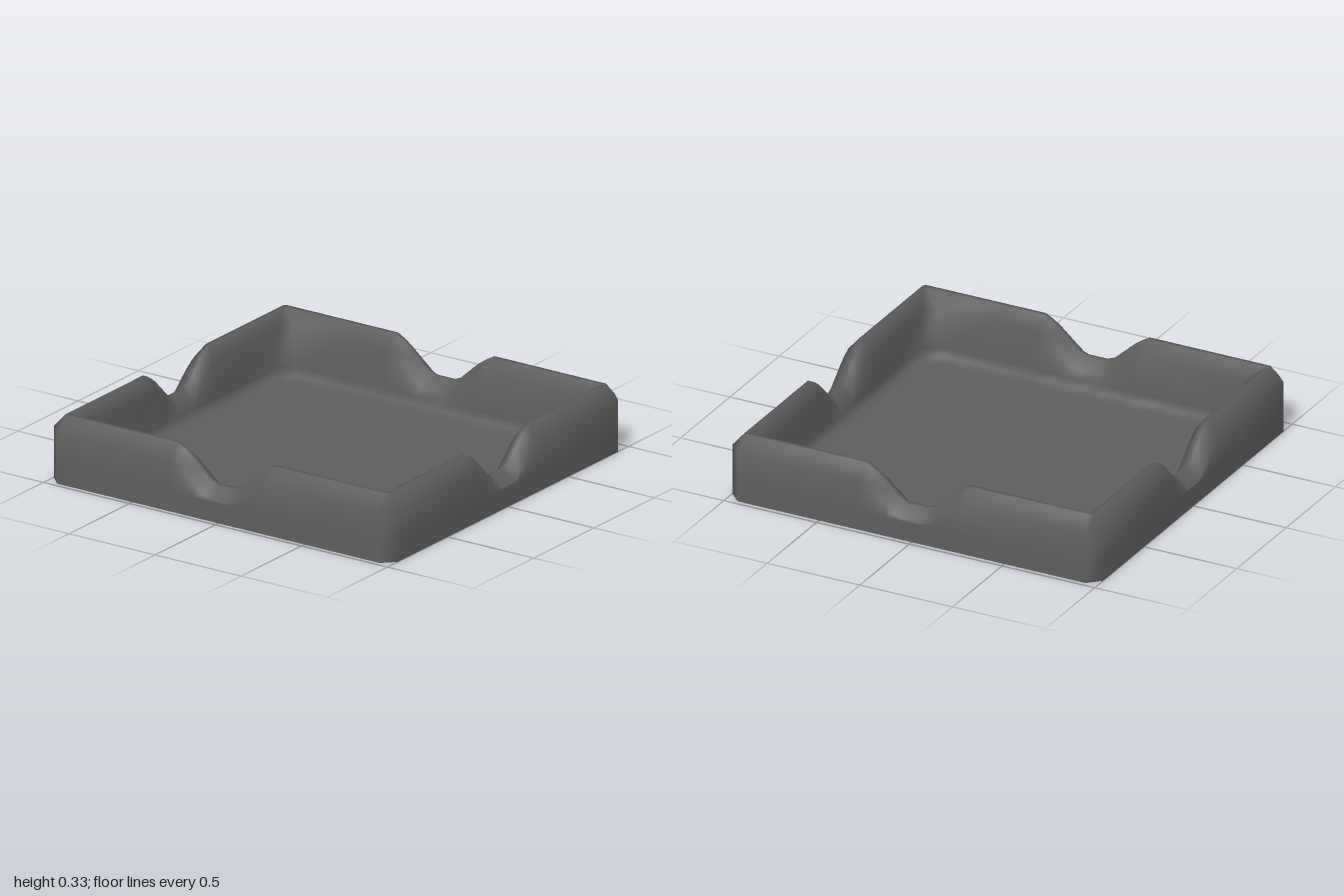
import * as THREE from 'three';

// Half of the notch outline: [distance from the middle of the side, drop below the rim]
const NOTCH = [[0.28, 0], [0.24, 0.022], [0.2, 0.05], [0.145, 0.1], [0.09, 0.15], [0.05, 0.165]];

// Cross-section from the outer foot, over the rim, down to the floor:
// [half width x, half depth z, corner cut, height, share of the notch drop]
const SECTION = [
  [1, 0.976, 0.062, 0, 0],
  [1, 0.976, 0.062, 0.1, 0],
  [1, 0.976, 0.062, 0.26, 0.9],
  [0.94, 0.915, 0.012, 0.33, 1],
  [0.92, 0.89, 0.012, 0.33, 1],
  [0.875, 0.825, 0.05, 0.27, 0.95],
  [0.875, 0.82, 0.06, 0.07, 0],
  [0.855, 0.80, 0.06, 0.035, 0],
  [0.81, 0.755, 0.06, 0.022, 0],
  [0.7, 0.65, 0.06, 0.02, 0],
];

// One closed loop around the tray, four sides with cut corners
function loop([hx, hz, cut, y, share]) {
  const points = [];
  for (let side = 0; side < 4; side++) {
    const alongX = side % 2 === 0;
    const end = (alongX ? hx : hz) - cut;
    const out = alongX ? hz : hx;
    const scale = alongX ? 1 : 0.93;
    const half = NOTCH.map(([t, drop]) => [t * scale, drop]);
    const stops = [
      [-end, 0], [-0.5, 0],
      ...half.map(([t, drop]) => [-t, drop]),
      ...half.slice().reverse(),
      [0.5, 0], [end, 0],
    ];
    for (const [t, drop] of stops) {
      points.push(new THREE.Vector3(t, y - drop * share, out)
        .applyAxisAngle(new THREE.Vector3(0, 1, 0), side * Math.PI / 2));
    }
  }
  return points;
}

function trayGeometry() {
  const loops = SECTION.map(loop);
  const n = loops[0].length;
  const positions = loops.flat().flatMap((p) => p.toArray());
  const index = [];
  for (let i = 0; i < loops.length - 1; i++) {
    for (let j = 0; j < n; j++) {
      const k = (j + 1) % n;
      const a = i * n + j, b = i * n + k;
      index.push(a, b, b + n, a, b + n, a + n);
    }
  }
  // Close the floor with a fan
  const base = (loops.length - 1) * n;
  const centre = loops.length * n;
  positions.push(0, 0.02, 0);
  for (let j = 0; j < n; j++) index.push(base + j, base + (j + 1) % n, centre);

  const geometry = new THREE.BufferGeometry();
  geometry.setAttribute('position', new THREE.Float32BufferAttribute(positions, 3));
  geometry.setIndex(index);
  geometry.computeVertexNormals();
  return geometry;
}

export function createModel() {
  const group = new THREE.Group();
  group.name = 'ashtray';
  // Thin shell, open underneath
  const material = new THREE.MeshStandardMaterial({ color: 0x5e5e5e, side: THREE.DoubleSide });
  const tray = new THREE.Mesh(trayGeometry(), material);
  tray.name = 'notchedTray';
  group.add(tray);
  return group;
}
